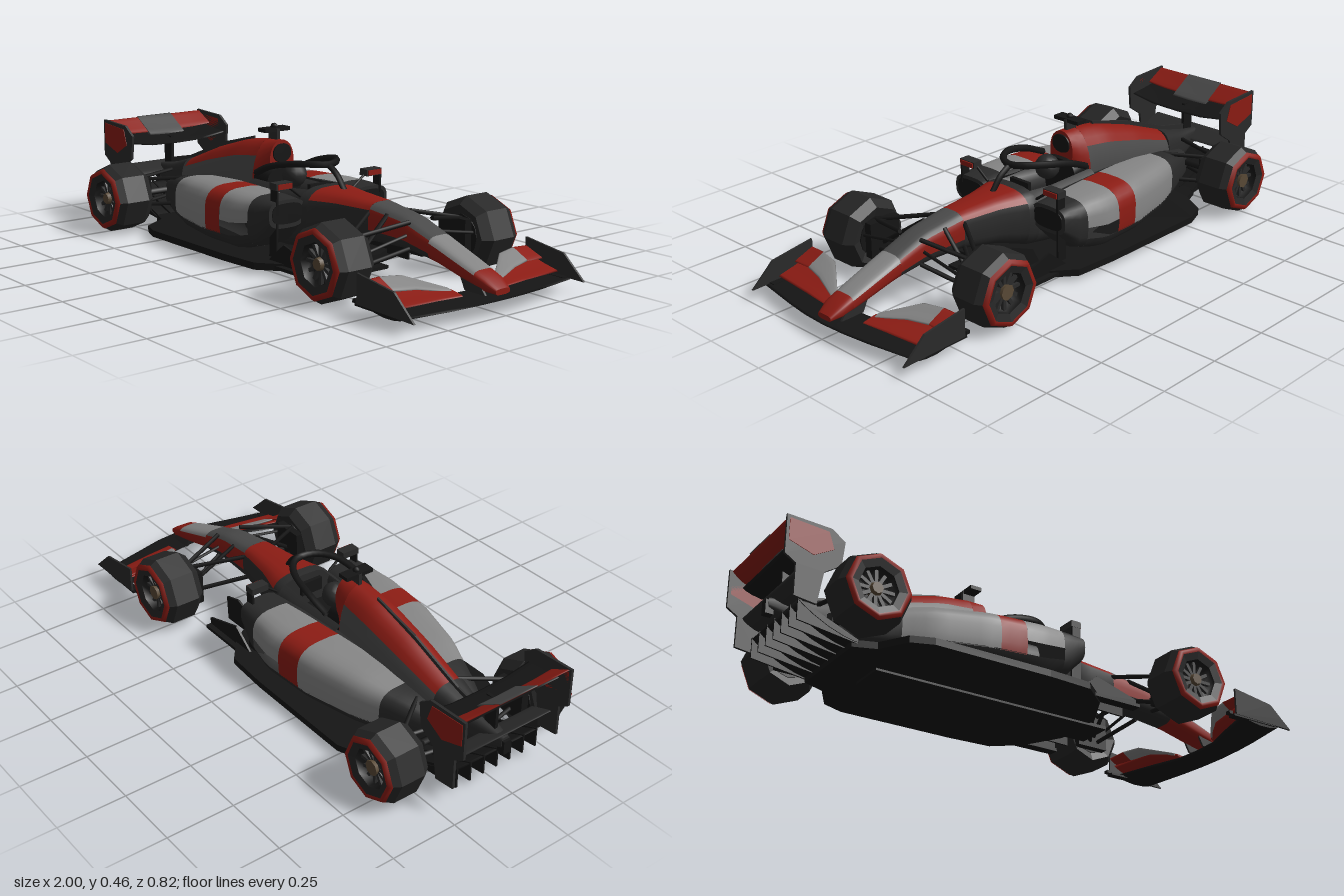
import * as THREE from 'three';

const paint = (color, extra = {}) => new THREE.MeshStandardMaterial({ color, side: THREE.DoubleSide, ...extra });
const V = (x, y, z) => new THREE.Vector3(x, y, z);

export function createModel() {
  const car = new THREE.Group();
  const black = paint(0x151515), dark = paint(0x2a2a2a), grey = paint(0x4a4a4a), silver = paint(0x858585), red = paint(0x8c1c14);
  const rubber = paint(0x262626, { flatShading: true }), bronze = paint(0x5a4a36);

  const add = (name, geo, mat, x = 0, y = 0, z = 0, parent = car) => {
    const m = new THREE.Mesh(geo, mat);
    m.name = name;
    m.position.set(x, y, z);
    parent.add(m);
    return m;
  };
  const box = (name, mat, w, h, d, x, y, z, parent) => add(name, new THREE.BoxGeometry(w, h, d), mat, x, y, z, parent);
  const tube = (name, mat, pts, r, n = 16) =>
    add(name, new THREE.TubeGeometry(new THREE.CatmullRomCurve3(pts.map(p => V(...p))), n, r, 6), mat);
  // straight strut, flattened like an aero section
  const strut = (name, mat, a, b, r = 0.008) => {
    const p = V(...a), q = V(...b), m = add(name, new THREE.CylinderGeometry(r, r, p.distanceTo(q), 6), mat);
    m.position.copy(p).lerp(q, 0.5);
    m.quaternion.setFromUnitVectors(V(0, 1, 0), q.sub(p).normalize());
    return m;
  };
  // flat plate from an x-y outline
  const plate = (name, mat, pts, t, z) => add(name, new THREE.ExtrudeGeometry(
    new THREE.Shape(pts.map(p => new THREE.Vector2(...p))), { depth: t, bevelEnabled: false }), mat, 0, 0, z - t / 2);

  // surface through equal rings of points
  const skin = (name, mat, rings, closed, caps) => {
    const n = rings[0].length, pos = [], idx = [];
    rings.forEach(r => r.forEach(p => pos.push(p.x, p.y, p.z)));
    for (let i = 0; i < rings.length - 1; i++) for (let j = 0; j < (closed ? n : n - 1); j++) {
      const a = i * n + j, b = i * n + (j + 1) % n;
      idx.push(a, a + n, b + n, a, b + n, b);
    }
    if (caps) [rings[0], rings[rings.length - 1]].forEach((r, e) => {
      const c = pos.length / 3, mid = r.reduce((s, p) => s.add(p), V(0, 0, 0)).divideScalar(n);
      [mid, ...r].forEach(p => pos.push(p.x, p.y, p.z));
      for (let j = 0; j < n; j++) {
        const a = c + 1 + j, b = c + 1 + (j + 1) % n;
        e ? idx.push(c, a, b) : idx.push(c, b, a);
      }
    });
    const g = new THREE.BufferGeometry();
    g.setAttribute('position', new THREE.Float32BufferAttribute(pos, 3));
    g.setIndex(idx);
    g.computeVertexNormals();
    return add(name, g, mat);
  };

  // hull panel: stations [x, bottom, top, halfWidth, centreZ], cut to an x range and an angle range
  const hull = (name, mat, st, x0, x1, a0 = 0, a1 = 360, e = 0.65, side = 1) => {
    const rings = [], full = a1 - a0 === 360, na = Math.max(4, Math.round((a1 - a0) / 15));
    const nx = Math.max(2, Math.round((x1 - x0) / 0.035));
    if (side < 0) [a0, a1] = [180 - a1, 180 - a0];
    const pw = v => Math.sign(v) * Math.abs(v) ** e;
    for (let i = 0; i <= nx; i++) {
      const x = x0 + (x1 - x0) * i / nx;
      let k = 0;
      while (k < st.length - 2 && x > st[k + 1][0]) k++;
      const t = (x - st[k][0]) / (st[k + 1][0] - st[k][0]);
      const [, lo, hi, hw, cz = 0] = st[k].map((v, q) => v + (st[k + 1][q] - v) * t);
      rings.push(Array.from({ length: full ? na : na + 1 }, (_, j) => {
        const a = (a0 + (a1 - a0) * j / na) * Math.PI / 180;
        return V(x, (lo + hi) / 2 + (hi - lo) / 2 * pw(Math.sin(a)), side * cz + hw * pw(Math.cos(a)));
      }));
    }
    return skin(name, mat, rings, full, full);
  };

  // wing element: sections [z, trailX, leadX, trailY, leadY] with a thin rounded profile
  const wing = (name, mat, secs, t = 0.008) => skin(name, mat, secs.map(([z, xt, xl, yt, yl]) =>
    Array.from({ length: 12 }, (_, j) => {
      const a = j * Math.PI / 6, u = (1 + Math.cos(a)) / 2;
      return V(xt + (xl - xt) * u, yt + (yl - yt) * u + Math.sin(a) * t - 0.05 * (xl - xt) * Math.sin(u * Math.PI), z);
    })), true, true);
  const both = secs => [...secs.slice().reverse().map(([z, ...r]) => [-z, ...r]), ...secs.filter(s => s[0] > 0)];

  // nose and cockpit tub
  const tub = [[-0.2, 0.04, 0.27, 0.13], [0.02, 0.04, 0.27, 0.135], [0.14, 0.06, 0.28, 0.13], [0.26, 0.1, 0.275, 0.09], [0.42, 0.13, 0.268, 0.066],
    [0.58, 0.135, 0.245, 0.058], [0.72, 0.12, 0.195, 0.054], [0.86, 0.085, 0.145, 0.05], [0.95, 0.065, 0.11, 0.045], [0.985, 0.065, 0.085, 0.032]];
  hull('cockpitTub', dark, tub, -0.2, 0.12, -240, 60);
  hull('scuttle', dark, tub, 0.12, 0.16);
  hull('noseTopRear', red, tub, 0.16, 0.42, 30, 150);
  hull('noseSidesRear', dark, tub, 0.16, 0.42, -210, 30);
  hull('noseTopMiddle', grey, tub, 0.42, 0.7, 35, 145);
  hull('noseSidesMiddle', red, tub, 0.42, 0.7, -10, 35);
  hull('noseSidesMiddle', red, tub, 0.42, 0.7, 145, 190);
  hull('noseUnderside', dark, tub, 0.42, 0.7, 190, 350);
  hull('noseFront', silver, tub, 0.7, 0.9, 20, 160);
  hull('noseFrontUnder', red, tub, 0.7, 0.9, -200, 20);
  hull('noseTip', red, tub, 0.9, 0.985);

  // engine cover with airbox
  const cover = [[-0.95, 0.16, 0.2, 0.018], [-0.8, 0.1, 0.225, 0.05], [-0.68, 0.07, 0.262, 0.075], [-0.5, 0.06, 0.33, 0.09],
    [-0.32, 0.06, 0.383, 0.095], [-0.2, 0.06, 0.4, 0.088], [-0.135, 0.25, 0.402, 0.055]];
  hull('tailCover', dark, cover, -0.95, -0.68);
  hull('engineCoverSpine', red, cover, -0.68, -0.2, 40, 140, 0.95);
  hull('engineCoverSides', grey, cover, -0.68, -0.2, -220, 40, 0.95);
  hull('airbox', red, cover, -0.2, -0.135, 0, 360, 0.95);
  hull('airIntake', black, [[-0.15, 0.315, 0.39, 0.042], [-0.13, 0.32, 0.388, 0.04]], -0.15, -0.13, 0, 360, 0.9);
  plate('sharkFin', dark, [[-0.9, 0.2], [-0.3, 0.36], [-0.3, 0.395], [-0.5, 0.345], [-0.72, 0.262], [-0.9, 0.225]], 0.008, 0);
  box('cameraMast', dark, 0.05, 0.05, 0.014, -0.18, 0.415, 0);
  box('cameraBar', black, 0.045, 0.014, 0.114, -0.18, 0.436, 0);
  add('cameraPod', new THREE.SphereGeometry(0.013, 8, 6), black, -0.18, 0.446, 0);

  // cockpit interior
  box('cockpitFloor', black, 0.3, 0.02, 0.2, -0.04, 0.15, 0);
  hull('headrest', black, [[-0.2, 0.16, 0.32, 0.085], [-0.12, 0.16, 0.3, 0.08]], -0.2, -0.12);
  add('helmet', new THREE.SphereGeometry(0.046, 12, 8), dark, -0.06, 0.285, 0);
  box('steeringWheel', black, 0.015, 0.05, 0.09, 0.08, 0.25, 0);
  tube('halo', black, [[-0.15, 0.29, 0.105], [-0.06, 0.327, 0.112], [0.05, 0.35, 0.095], [0.115, 0.353, 0.05], [0.135, 0.35, 0],
    [0.115, 0.353, -0.05], [0.05, 0.35, -0.095], [-0.06, 0.327, -0.112], [-0.15, 0.29, -0.105]], 0.013, 32);
  tube('haloPillar', black, [[0.13, 0.35, 0], [0.18, 0.32, 0], [0.225, 0.265, 0]], 0.011);

  // floor and diffuser
  const half = [[0.3, 0.1], [0.22, 0.24], [0.12, 0.32], [-0.05, 0.33], [-0.5, 0.33], [-0.58, 0.3], [-0.64, 0.2], [-0.72, 0.17]];
  const outline = [...half, ...half.slice().reverse().map(([x, z]) => [x, -z])].map(p => new THREE.Vector2(...p));
  add('floor', new THREE.ExtrudeGeometry(new THREE.Shape(outline), { depth: 0.025, bevelEnabled: false }).rotateX(-Math.PI / 2), black, 0, 0.018, 0);
  box('plank', black, 0.95, 0.012, 0.14, -0.1, 0.016, 0);
  wing('diffuser', black, [[-0.18, -0.92, -0.7, 0.13, 0.035], [0.18, -0.92, -0.7, 0.13, 0.035]]);
  for (let i = -3; i <= 3; i++) plate('diffuserFence', black, [[-0.7, 0.03], [-0.92, 0.06], [-0.92, 0.135], [-0.7, 0.045]], 0.006, i * 0.058);

  // front wing centre and rear wing
  wing('frontWingMainPlane', black, both([[0, 0.87, 0.995, 0.06, 0.052], [0.1, 0.86, 0.988, 0.058, 0.05], [0.2, 0.82, 0.97, 0.055, 0.045], [0.375, 0.76, 0.935, 0.05, 0.04]]));
  wing('rearWingMainPlane', black, both([[0, -0.95, -0.81, 0.335, 0.3], [0.12, -0.95, -0.81, 0.335, 0.303], [0.225, -0.95, -0.81, 0.335, 0.32]]));
  const flap = [[0, -0.99, -0.91, 0.388, 0.335], [0.14, -0.99, -0.91, 0.388, 0.338], [0.225, -0.99, -0.91, 0.388, 0.345]];
  wing('rearWingFlap', red, both(flap), 0.006);
  wing('rearWingFlapCentre', grey, both([[0, -0.992, -0.89, 0.391, 0.325], [0.08, -0.992, -0.89, 0.391, 0.327]]), 0.007);
  wing('beamWing', dark, [[-0.2, -0.95, -0.86, 0.21, 0.175], [0.2, -0.95, -0.86, 0.21, 0.175]]);
  box('rearWingPylon', black, 0.05, 0.14, 0.012, -0.88, 0.25, 0);
  box('rainLight', black, 0.03, 0.05, 0.03, -0.945, 0.165, 0);

  // wheel with low-poly tyre
  const wheel = (name, x, r, z, s) => {
    const w = new THREE.Group(), k = r / 0.135;
    w.name = name;
    w.position.set(x, r, z * s);
    car.add(w);
    const ring = p => new THREE.LatheGeometry(p.map(([a, b]) => new THREE.Vector2(a * k, b * s)), 8).rotateX(Math.PI / 2);
    add('tyre', ring([[0.072, -0.07], [0.108, -0.083], [0.135, -0.05], [0.135, 0.045], [0.112, 0.082], [0.074, 0.072]]), rubber, 0, 0, 0, w);
    add('tyreBand', ring([[0.101, 0.0815], [0.113, 0.084], [0.121, 0.071]]), red, 0, 0, 0, w);
    add('rim', ring([[0.074, 0.072], [0.068, 0.03], [0, 0.03]]), black, 0, 0, 0, w);
    add('brakeDrum', new THREE.CylinderGeometry(0.075 * k, 0.072 * k, 0.1, 12).rotateX(Math.PI / 2), black, 0, 0, -0.025 * s, w);
    for (let i = 0; i < 6; i++) box('spoke', dark, 0.14 * k, 0.012, 0.012, 0, 0, 0.045 * s, w).rotation.z = i * Math.PI / 6;
    add('hub', new THREE.CylinderGeometry(0.02, 0.028, 0.03, 8).rotateX(Math.PI / 2), bronze, 0, 0, 0.05 * s, w);
  };

  for (const s of [1, -1]) {
    // sidepods
    const pod = [[-0.76, 0.06, 0.17, 0.05, 0.05], [-0.62, 0.05, 0.205, 0.08, 0.085], [-0.45, 0.04, 0.235, 0.105, 0.13], [-0.25, 0.04, 0.25, 0.12, 0.165],
      [-0.05, 0.045, 0.255, 0.115, 0.185], [0.07, 0.08, 0.255, 0.095, 0.19], [0.14, 0.15, 0.25, 0.08, 0.19]];
    hull('sidepodTail', dark, pod, -0.76, -0.55, 0, 360, 0.65, s);
    hull('sidepodRear', silver, pod, -0.55, -0.22, -20, 110, 0.65, s);
    hull('sidepodRedPanel', red, pod, -0.22, -0.12, -20, 110, 0.65, s);
    hull('sidepodFront', silver, pod, -0.12, 0.04, 0, 110, 0.65, s);
    hull('sidepodLip', dark, pod, 0.04, 0.14, 0, 360, 0.65, s);
    hull('sidepodUndercut', dark, pod, -0.55, 0.04, 110, 342, 0.65, s);
    hull('sidepodInlet', black, [[0.13, 0.165, 0.238, 0.066, 0.19], [0.143, 0.165, 0.238, 0.066, 0.19]], 0.13, 0.143, 0, 360, 0.65, s);

    // bargeboards, floor strakes and mirrors
    plate('bargeboard', black, [[0.16, 0.03], [0.37, 0.025], [0.375, 0.12], [0.3, 0.14], [0.2, 0.1]], 0.008, s * 0.17);
    plate('floorStrake', black, [[0.1, 0.03], [0.37, 0.025], [0.37, 0.06], [0.2, 0.11]], 0.008, s * 0.25);
    box('strakeFoot', black, 0.2, 0.012, 0.04, 0.27, 0.03, s * 0.255);
    plate('podVane', black, [[0.1, 0.05], [0.14, 0.05], [0.145, 0.3], [0.11, 0.3]], 0.008, s * 0.235);
    box('mirror', dark, 0.04, 0.024, 0.07, 0.125, 0.299, s * 0.205);
    box('mirrorTrim', red, 0.006, 0.018, 0.06, 0.147, 0.299, s * 0.205);
    strut('mirrorStay', black, [0.125, 0.25, s * 0.12], [0.125, 0.295, s * 0.18], 0.005);

    // front wing flaps and endplate
    wing('frontWingLowerFlap', red, [[s * 0.1, 0.85, 0.91, 0.07, 0.06], [s * 0.2, 0.79, 0.9, 0.088, 0.06], [s * 0.375, 0.75, 0.88, 0.088, 0.055]], 0.006);
    wing('frontWingUpperFlap', silver, [[s * 0.11, 0.84, 0.87, 0.075, 0.07], [s * 0.22, 0.755, 0.83, 0.117, 0.085], [s * 0.3, 0.74, 0.81, 0.122, 0.088]], 0.006);
    wing('frontWingFlapTip', red, [[s * 0.3, 0.74, 0.81, 0.122, 0.088], [s * 0.375, 0.73, 0.81, 0.115, 0.085]], 0.006);
    plate('frontWingEndplate', dark, [[0.73, 0.045], [0.99, 0.04], [0.95, 0.075], [0.9, 0.12], [0.73, 0.145]], 0.008, s * 0.378);
    box('endplateFoot', black, 0.2, 0.008, 0.03, 0.82, 0.042, s * 0.365);
    box('winglet', black, 0.015, 0.012, 0.02, 0.71, 0.05, s * 0.365);
    plate('wingPylon', dark, [[0.86, 0.06], [0.95, 0.06], [0.92, 0.1], [0.84, 0.1]], 0.008, s * 0.04);

    // rear wing endplate
    plate('rearWingEndplate', dark, [[-1, 0.25], [-0.96, 0.225], [-0.96, 0.11], [-0.88, 0.1], [-0.86, 0.22], [-0.8, 0.26], [-0.79, 0.35], [-0.84, 0.385], [-1, 0.392]], 0.01, s * 0.226);
    plate('endplatePanel', red, [[-0.99, 0.3], [-0.9, 0.27], [-0.83, 0.31], [-0.85, 0.37], [-0.99, 0.38]], 0.012, s * 0.227);

    // wheels and suspension
    wheel('frontWheel', 0.545, 0.135, 0.325, s);
    wheel('rearWheel', -0.745, 0.131, 0.32, s);
    const arm = (name, a, b, r) => strut(name, black, [a[0], a[1], s * a[2]], [b[0], b[1], s * b[2]], r);
    for (const [dx, fx] of [[-0.13, 0.01], [0.07, -0.01]]) {
      arm('frontUpperArm', [0.54 + dx, 0.235, 0.05], [0.545 + fx, 0.19, 0.28]);
      arm('frontLowerArm', [0.54 + dx, 0.145, 0.05], [0.545 + fx, 0.08, 0.28]);
      arm('rearUpperArm', [-0.72 - dx, 0.2, 0.05], [-0.745 - fx, 0.19, 0.28]);
      arm('rearLowerArm', [-0.72 - dx, 0.1, 0.05], [-0.745 - fx, 0.09, 0.28]);
    }
    arm('frontPushrod', [0.5, 0.24, 0.05], [0.545, 0.09, 0.26]);
    arm('steeringRod', [0.6, 0.19, 0.05], [0.6, 0.15, 0.27], 0.006);
    arm('driveShaft', [-0.745, 0.131, 0.03], [-0.745, 0.131, 0.27], 0.013);
    box('frontBrakeDuct', black, 0.13, 0.13, 0.03, 0.53, 0.135, s * 0.235);
    box('rearBrakeDuct', black, 0.12, 0.12, 0.03, -0.745, 0.131, s * 0.23);
  }
  return car;
}
